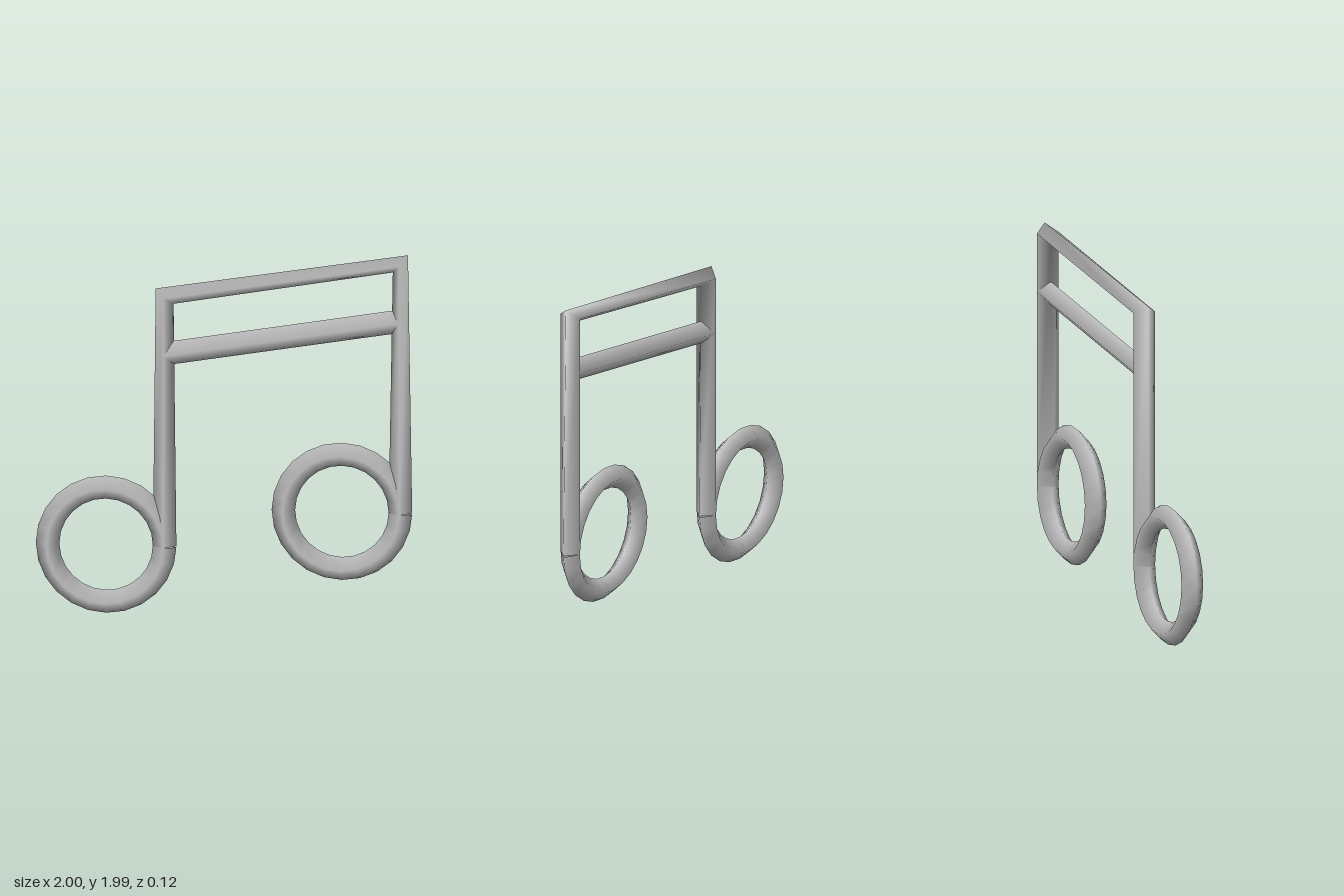
import * as THREE from 'three';

const R = 0.0625;  // tube radius
const SIDES = 4;   // diamond cross-section
const RING = 0.311;

// Sweeps a diamond section along a path in the xy plane, mitred at the bends.
function sweep(path) {
  const pos = [], nor = [], idx = [];
  path.forEach((p, i) => {
    const dirs = [];
    if (i > 0) dirs.push(p.clone().sub(path[i - 1]).normalize());
    if (i < path.length - 1) dirs.push(path[i + 1].clone().sub(p).normalize());
    const t = dirs.reduce((a, b) => a.clone().add(b)).normalize();
    for (let k = 0; k < SIDES; k++) {
      const a = (k / SIDES) * Math.PI * 2;
      const n = [t.y * Math.cos(a), -t.x * Math.cos(a), Math.sin(a)];
      pos.push(p.x + R * n[0], p.y + R * n[1], R * n[2]);
      nor.push(...n);
      if (i < path.length - 1) {
        const a0 = i * SIDES + k, c0 = i * SIDES + (k + 1) % SIDES;
        idx.push(a0, a0 + SIDES, c0, a0 + SIDES, c0 + SIDES, c0);
      }
    }
  });
  const geo = new THREE.BufferGeometry();
  geo.setAttribute('position', new THREE.Float32BufferAttribute(pos, 3));
  geo.setAttribute('normal', new THREE.Float32BufferAttribute(nor, 3));
  geo.setIndex(idx);
  return geo;
}

export function createModel() {
  const group = new THREE.Group();
  const grey = new THREE.MeshStandardMaterial({ color: 0xc0c0c0, side: THREE.DoubleSide });
  grey.name = 'light grey';
  const v = (x, y) => new THREE.Vector2(x, y);

  function add(name, path) {
    const mesh = new THREE.Mesh(sweep(path), grey);
    mesh.name = name;
    group.add(mesh);
  }

  // Ring heads, each with a small open seam beside its stem
  function addRing(name, cx, cy) {
    const path = [];
    for (let i = 0; i <= 24; i++) {
      const a = (i / 24) * Math.PI * 2;
      path.push(v(cx + RING * Math.cos(a), cy + RING * Math.sin(a)));
    }
    add(name, path);
  }
  addRing('rightNoteHead', -0.6265, 0.3735);
  addRing('leftNoteHead', 0.6265, 0.5865);

  // Both stems and the top beam are one bent tube
  add('stemsAndTopBeam', [
    v(-0.3155, 0.3735), v(-0.3155, 1.733), v(0.9375, 1.943), v(0.9375, 0.5865),
  ]);

  // Lower beam between the stems
  add('lowerBeam', [v(-0.312, 1.42), v(0.934, 1.63)]);

  return group;
}
